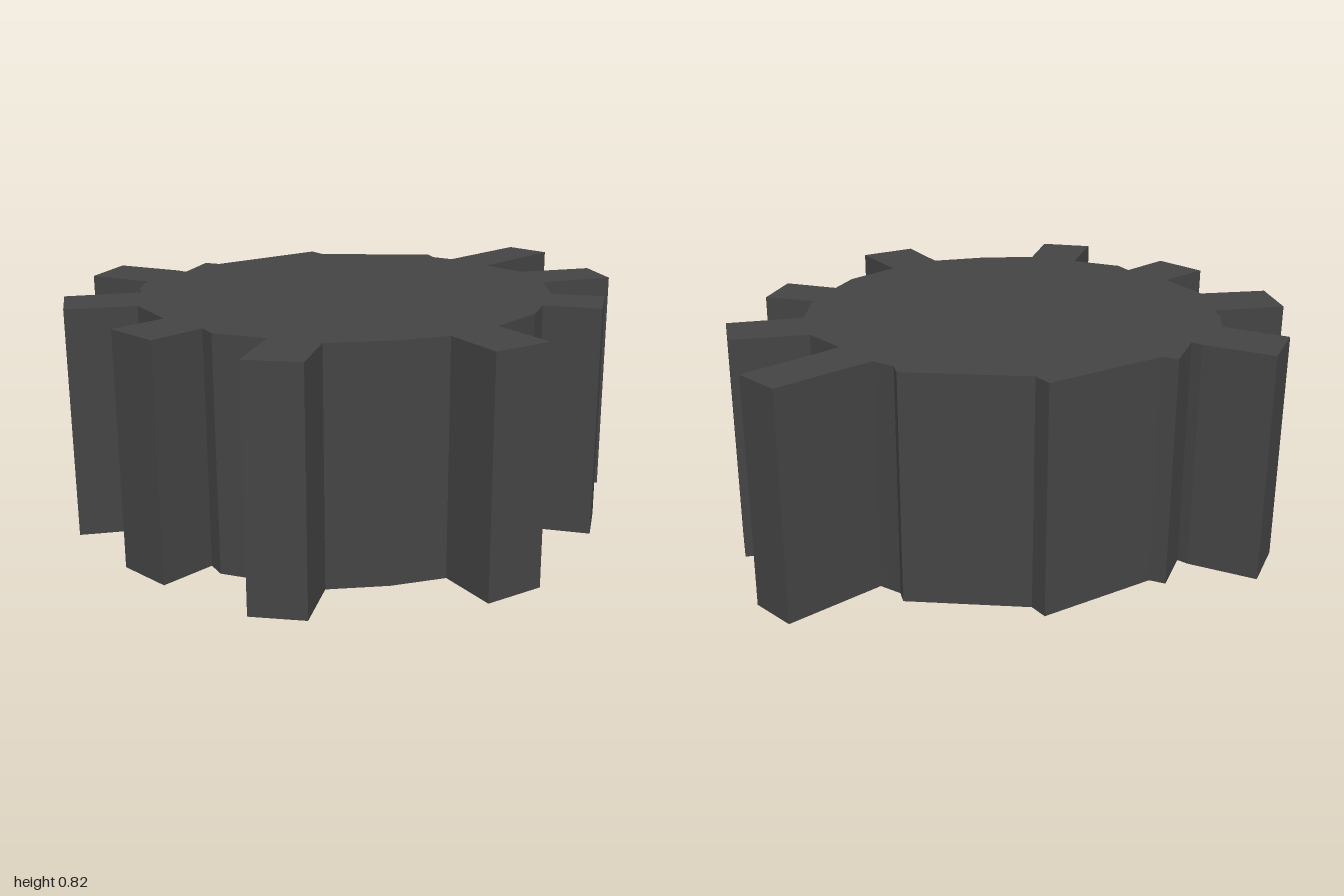
import * as THREE from 'three';

const HEIGHT = 0.82;

// Teeth, each as [base, tip, tip, base] corners in x, z
const TEETH = [
  [[0.60, -0.22], [0.97, -0.26], [1.00, -0.09], [0.62, -0.04]],
  [[0.64, 0.13], [0.89, 0.24], [0.82, 0.41], [0.57, 0.31]],
  [[0.45, 0.47], [0.57, 0.61], [0.42, 0.73], [0.30, 0.57]],
  [[-0.02, 0.68], [-0.03, 0.92], [-0.24, 0.90], [-0.22, 0.68]],
  [[-0.58, 0.50], [-0.75, 0.64], [-0.88, 0.50], [-0.68, 0.35]],
  [[-0.77, 0.12], [-0.97, 0.15], [-1.00, -0.05], [-0.80, -0.07]],
  [[-0.78, -0.28], [-1.00, -0.39], [-0.91, -0.57], [-0.67, -0.46]],
  [[-0.56, -0.61], [-0.67, -0.82], [-0.49, -0.93], [-0.37, -0.71]],
];

// Rim points that follow each tooth; the last run is the broken, toothless side
const RIM = [
  [], [], [[0.19, 0.64]], [[-0.40, 0.61]], [[-0.78, 0.19]], [], [[-0.64, -0.52]],
  [[-0.36, -0.67], [-0.21, -0.77], [-0.18, -0.72], [0.26, -0.70],
    [0.26, -0.63], [0.59, -0.35], [0.57, -0.30]],
];

// Upright prism over a plan outline
function prism(name, plan, material) {
  const shape = new THREE.Shape(plan.map(([x, z]) => new THREE.Vector2(x, -z)));
  const geometry = new THREE.ExtrudeGeometry(shape, { depth: HEIGHT, bevelEnabled: false });
  geometry.rotateX(-Math.PI / 2);
  const mesh = new THREE.Mesh(geometry, material);
  mesh.name = name;
  return mesh;
}

export function createModel() {
  const model = new THREE.Group();
  model.name = 'gear';
  const material = new THREE.MeshStandardMaterial({ color: 0x444444, flatShading: true });

  // Hub: the rim runs through the base of every tooth
  const hub = TEETH.flatMap((tooth, i) => [tooth[0], tooth[3], ...RIM[i]]);
  model.add(prism('hub', hub, material));

  // Uneven teeth around the hub
  TEETH.forEach((tooth, i) => model.add(prism(`tooth${i + 1}`, tooth, material)));

  return model;
}
